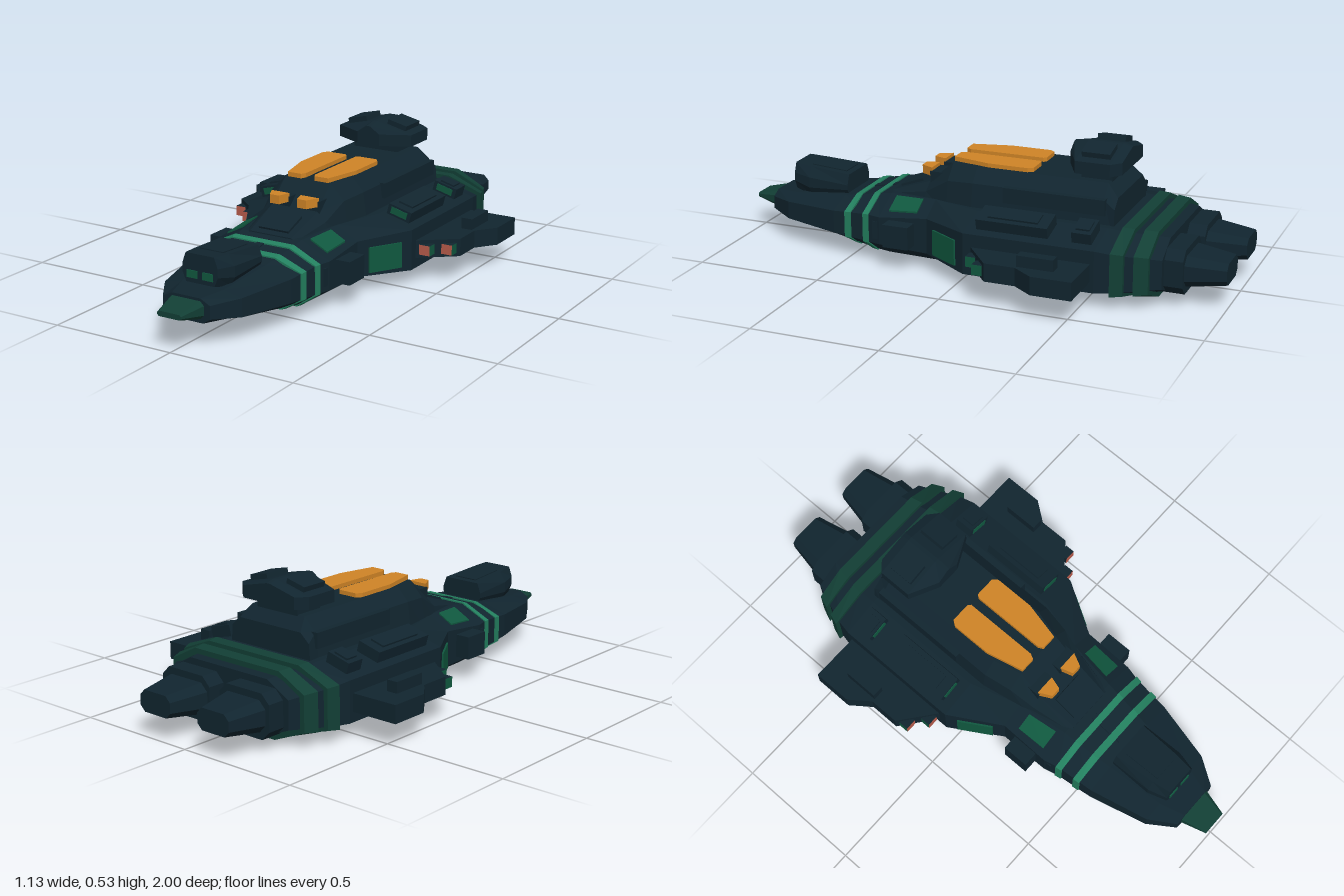
import * as THREE from 'three';

const mat = (name, color) => Object.assign(new THREE.MeshStandardMaterial({ color }), { name });

// Half section: bottom, chine, side, deck edge -> closed ring, counterclockwise from +z
const mirrorRing = (half) => [...half, ...half.map(([x, y]) => [-x, y]).reverse()];

// Skin a list of [z, ring] (z ascending) with flat faces and end caps
function loft(sections) {
  const out = [];
  const put = (s, i) => out.push(s[1][i][0], s[1][i][1], s[0]);
  const n = sections[0][1].length;
  for (let k = 0; k < sections.length - 1; k++) {
    const A = sections[k], B = sections[k + 1];
    for (let i = 0; i < n; i++) {
      const j = (i + 1) % n;
      put(A, i); put(A, j); put(B, j);
      put(A, i); put(B, j); put(B, i);
    }
  }
  const last = sections[sections.length - 1];
  for (let i = 1; i < n - 1; i++) {
    put(last, 0); put(last, i); put(last, i + 1);
    put(sections[0], 0); put(sections[0], i + 1); put(sections[0], i);
  }
  const g = new THREE.BufferGeometry();
  g.setAttribute('position', new THREE.Float32BufferAttribute(out, 3));
  g.computeVertexNormals();
  return g;
}

// Vertical prism from a plan outline of [x, z] points
function prism(points, y0, y1) {
  const shape = new THREE.Shape(points.map(([x, z]) => new THREE.Vector2(x, -z)));
  return new THREE.ExtrudeGeometry(shape, { depth: y1 - y0, bevelEnabled: false })
    .rotateX(-Math.PI / 2).translate(0, y0, 0);
}

// Rectangle ring with chamfered corners, for engines and the nose
function chamfered(x0, x1, y0, y1, c) {
  return [[x0 + c, y0], [x1 - c, y0], [x1, y0 + c], [x1, y1 - c],
    [x1 - c, y1], [x0 + c, y1], [x0, y1 - c], [x0, y0 + c]];
}

// Hull stations: z, side, bottom and deck half widths, then bottom, chine, side and deck heights
const STATIONS = [
  [-0.78, 0.29, 0.17, 0.19, 0.04, 0.09, 0.20, 0.255],
  [-0.62, 0.355, 0.18, 0.22, 0.03, 0.075, 0.22, 0.265],
  [-0.55, 0.37, 0.18, 0.22, 0.03, 0.07, 0.23, 0.27],
  [-0.04, 0.37, 0.18, 0.22, 0.03, 0.07, 0.23, 0.27],
  [0.16, 0.25, 0.17, 0.16, 0.03, 0.08, 0.22, 0.27],
  [0.36, 0.25, 0.16, 0.13, 0.03, 0.09, 0.20, 0.262],
  [0.42, 0.235, 0.155, 0.125, 0.035, 0.09, 0.20, 0.25],
  [0.57, 0.22, 0.13, 0.11, 0.055, 0.10, 0.19, 0.222],
  [0.80, 0.165, 0.10, 0.09, 0.092, 0.11, 0.18, 0.197],
  [0.90, 0.10, 0.07, 0.06, 0.10, 0.12, 0.17, 0.19],
];
const hullRing = ([, w, bw, tw, bot, lo, hi, top], g = 0) => mirrorRing([
  [bw + g / 2, bot - g], [w + g, lo - g / 2], [w + g, hi + g / 2], [tw + g / 2, top + g]]);

function stationAt(z) {
  const k = Math.max(1, STATIONS.findIndex((s) => s[0] >= z));
  const a = STATIONS[k - 1], b = STATIONS[k], t = (z - a[0]) / (b[0] - a[0]);
  return a.map((v, i) => v + (b[i] - v) * t);
}
const band = (z0, z1, g) => loft([z0, z1].map((z) => [z, hullRing(stationAt(z), g)]));

export function createModel() {
  const group = new THREE.Group();
  const hull = mat('hull navy', 0x11252f);
  const ringGreen = mat('ring dark green', 0x123f35);
  const green = mat('panel green', 0x10583f);
  const bright = mat('stripe green', 0x23805f);
  const orange = mat('window orange', 0xcf8426);
  const red = mat('light red', 0xb85c4c);

  const add = (name, geo, material) => {
    const m = new THREE.Mesh(geo, material);
    m.name = name;
    group.add(m);
    return m;
  };
  const box = (name, size, pos, material = hull) => {
    const m = add(name, new THREE.BoxGeometry(...size), material);
    m.position.set(...pos);
    return m;
  };

  // Main hull, stripes and aft rings
  add('hull', loft(STATIONS.map((s) => [s[0], hullRing(s)])), hull);
  add('frontStripe', band(0.49, 0.518, 0.005), bright);
  add('rearStripe', band(0.41, 0.436, 0.005), bright);
  add('forwardRing', band(-0.655, -0.61, 0.018), ringGreen);
  add('aftRing', band(-0.74, -0.69, 0.02), ringGreen);
  const spine = box('stripeDivider', [0.03, 0.02, 0.14], [0, 0.236, 0.465]);
  spine.rotation.x = 0.187;

  // Nose tip
  add('noseTip', loft([
    [0.9, chamfered(-0.075, 0.075, 0.115, 0.18, 0.015)],
    [1.0, chamfered(-0.05, 0.05, 0.138, 0.158, 0.006)]]), ringGreen);

  // Cockpit on the nose
  const cockpit = [[0.57, 0.095, 0.2, 0.08, 0.295], [0.74, 0.095, 0.19, 0.07, 0.307], [0.815, 0.075, 0.205, 0.06, 0.313]];
  add('cockpit', loft(cockpit.map(([z, w, y0, tw, y1]) =>
    [z, mirrorRing([[w * 0.8, y0], [w, y0 + 0.035], [w, y1 - 0.04], [tw, y1]])])), hull);
  box('cockpitRoofPlate', [0.1, 0.008, 0.15], [0, 0.302, 0.67]).rotation.x = -0.07;

  // Superstructure: z, bottom, shoulder and roof half widths, shoulder and roof heights
  const upper = [
    [-0.565, 0.20, 0.19, 0.15, 0.33, 0.365], [-0.52, 0.20, 0.18, 0.13, 0.36, 0.412],
    [0.0, 0.20, 0.18, 0.13, 0.36, 0.412], [0.11, 0.18, 0.16, 0.10, 0.35, 0.41],
    [0.21, 0.16, 0.14, 0.10, 0.29, 0.32], [0.37, 0.12, 0.11, 0.09, 0.255, 0.264]];
  add('superstructure', loft(upper.map(([z, b, s, t, ys, yt]) =>
    [z, mirrorRing([[b, 0.22], [s, ys], [t, yt]])])), hull);
  box('foredeckHatch', [0.13, 0.02, 0.1], [0, 0.288, 0.3]).rotation.x = 0.36;

  // Rear bridge tower
  box('towerStem', [0.2, 0.06, 0.12], [0, 0.425, -0.465]);
  const tower = [[-0.57, 0.125, 0.52], [-0.535, 0.165, 0.53], [-0.4, 0.165, 0.53], [-0.343, 0.05, 0.52]];
  add('tower', loft(tower.map(([z, w, y]) =>
    [z, mirrorRing([[w, 0.445], [w, 0.492], [0.008, y]])])), hull);

  for (const s of [1, -1]) {
    const plan = (pts) => pts.map(([x, z]) => [s * x, z]);

    // Roof and brow windows
    add('roofWindow', prism(plan([[0.02, -0.21], [0.03, -0.22], [0.11, -0.22], [0.125, -0.2],
      [0.125, -0.04], [0.09, 0.11], [0.03, 0.11], [0.02, 0.09]]), 0.405, 0.428), orange);
    add('browWindow', prism(plan([[0.025, 0.2], [0.105, 0.2], [0.08, 0.25], [0.04, 0.25]]), 0.342, 0.376), orange);
    box('browWindowMount', [0.09, 0.05, 0.08], [s * 0.065, 0.338, 0.165]);

    // Cockpit windows and foredeck panels
    box('cockpitWindow', [0.045, 0.028, 0.006], [s * 0.033, 0.237, 0.816], green);
    add('foredeckPanel', loft([0.21, 0.33].map((z) => {
      const [, w, , tw, , , hi, top] = stationAt(z);
      const at = (t, d) => [s * (tw + (w - tw) * t), top + (hi - top) * t + d];
      const ring = [at(0.12, -0.02), at(0.75, -0.02), at(0.75, 0.006), at(0.12, 0.006)];
      return [z, s > 0 ? ring : ring.reverse()];
    })), green);

    // Flank panels and forward side pods
    box('flankPanel', [0.012, 0.1, 0.14], [s * 0.311, 0.14, 0.06], green).rotation.y = -s * 0.54;
    box('sidePod', [0.075, 0.09, 0.105], [s * 0.272, 0.15, 0.265]);
    box('foreSidePanel', [0.02, 0.07, 0.06], [s * 0.238, 0.145, 0.36]);

    // Raised deck boxes with green front plates
    for (const [z, len] of [[-0.22, 0.28], [-0.49, 0.075]]) {
      const deck = new THREE.Group();
      deck.name = 'deckBox';
      const body = new THREE.Mesh(new THREE.BoxGeometry(0.1, 0.05, len), hull);
      const cap = new THREE.Mesh(new THREE.BoxGeometry(0.06, 0.008, len * 0.7), hull);
      cap.position.y = 0.028;
      const front = new THREE.Mesh(new THREE.BoxGeometry(0.07, 0.026, 0.006), green);
      front.position.set(0, 0.004, len / 2);
      body.name = 'deckBoxBody'; cap.name = 'deckBoxCap'; front.name = 'deckBoxFront';
      deck.add(body, cap, front);
      deck.position.set(s * 0.29, 0.27, z);
      deck.rotation.z = -s * 0.26;
      group.add(deck);
    }
    box('shoulderLedge', [0.04, 0.06, 0.4], [s * 0.18, 0.335, -0.33]);

    // Side wings with top fins
    add('wing', prism(plan([[0.34, -0.535], [0.565, -0.535], [0.565, -0.38], [0.505, -0.3],
      [0.505, -0.18], [0.36, -0.065]]), 0.11, 0.18), hull);
    box('wingFin', [0.045, 0.05, 0.14], [s * 0.47, 0.198, -0.37]);

    // Wing lights: red forward, green outboard
    const faces = [s > 0 ? green : hull, s > 0 ? hull : green, hull, hull, red, hull];
    box('innerWingLight', [0.045, 0.04, 0.04], [s * 0.406, 0.145, -0.095], faces);
    box('outerWingLight', [0.045, 0.04, 0.04], [s * 0.473, 0.145, -0.148], faces);

    // Tower roof panels
    box('towerPanel', [0.085, 0.025, 0.11], [s * 0.09, 0.518, -0.47]).rotation.z = -s * 0.23;

    // Twin engines
    const span = (a, b) => (s > 0 ? [a, b] : [-b, -a]);
    add('engineMount', loft([[-0.85, chamfered(...span(0.025, 0.265), 0.06, 0.23, 0.035)],
      [-0.76, chamfered(...span(0.025, 0.265), 0.06, 0.23, 0.035)]]), hull);
    add('engineNozzle', loft([[-1.0, chamfered(...span(0.068, 0.22), 0.105, 0.188, 0.022)],
      [-0.84, chamfered(...span(0.035, 0.25), 0.085, 0.205, 0.03)]]), hull);
  }
  return group;
}
